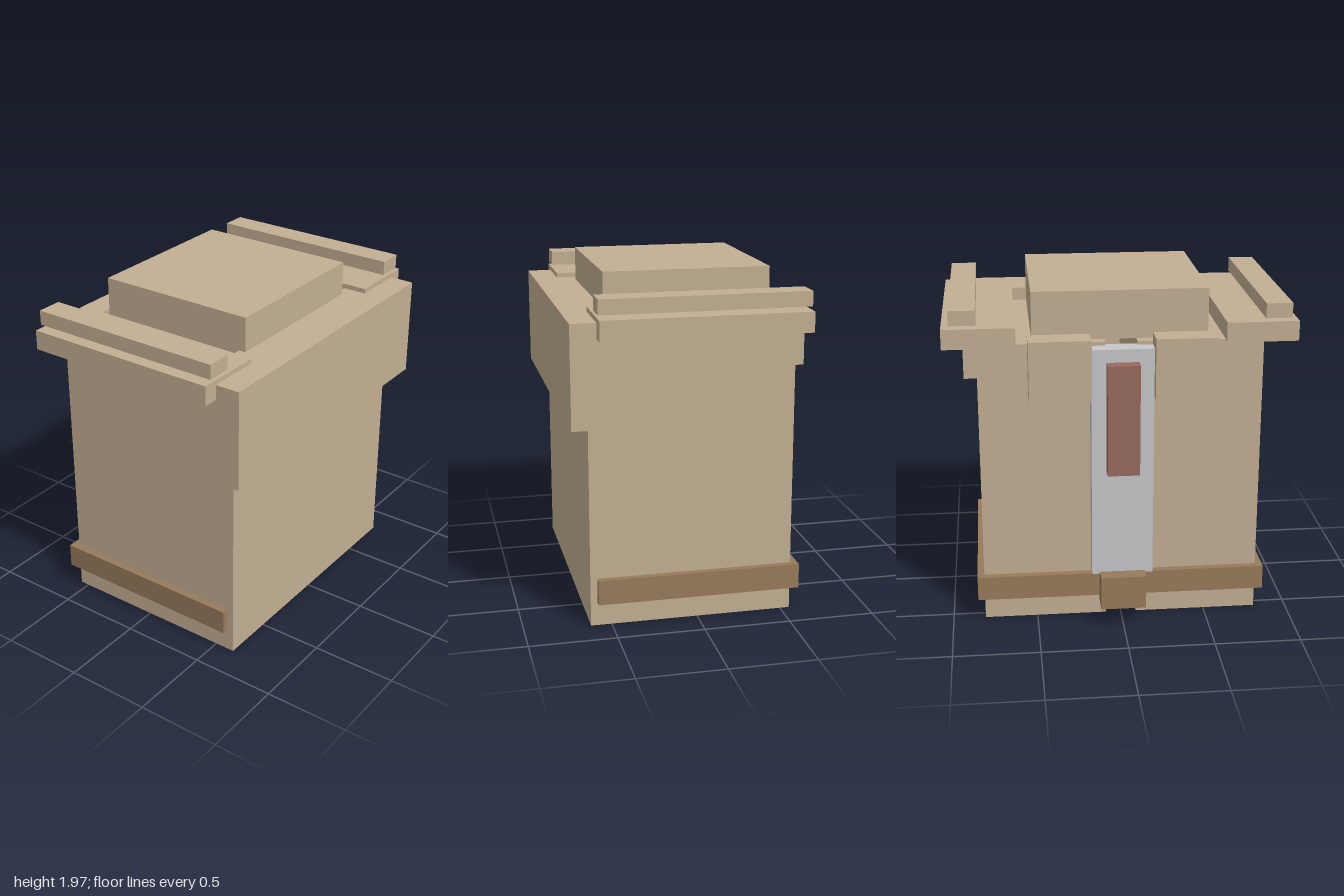
import * as THREE from 'three';

const material = (name, color) => {
  const m = new THREE.MeshStandardMaterial({ color });
  m.name = name;
  return m;
};

export function createModel() {
  const tan = material('tan canvas', 0xc3af93);
  const brown = material('brown leather', 0x977b5c);
  const grey = material('grey metal', 0xc7c7ca);
  const red = material('dull red', 0x976a5e);

  const group = new THREE.Group();
  group.name = 'pack';

  // Box given by its lower and upper limits on each axis
  const box = (name, mat, [x0, x1], [y0, y1], [z0, z1]) => {
    const mesh = new THREE.Mesh(new THREE.BoxGeometry(x1 - x0, y1 - y0, z1 - z0), mat);
    mesh.position.set((x0 + x1) / 2, (y0 + y1) / 2, (z0 + z1) / 2);
    mesh.name = name;
    group.add(mesh);
  };

  // Body: a block with a deep slot cut in from the back, drawn as (x, -z)
  const plan = new THREE.Shape([
    [-0.81, -0.62], [0.81, -0.62], [0.81, 0.555], [0.09, 0.555],
    [0.09, -0.45], [-0.09, -0.45], [-0.09, 0.555], [-0.81, 0.555],
  ].map(([x, y]) => new THREE.Vector2(x, y)));
  const bodyGeometry = new THREE.ExtrudeGeometry(plan, { depth: 1.69, bevelEnabled: false });
  bodyGeometry.rotateX(-Math.PI / 2);
  const body = new THREE.Mesh(bodyGeometry, tan);
  body.name = 'body';
  group.add(body);

  // Lid and front flap
  box('lid', tan, [-0.5, 0.5], [1.69, 1.97], [-0.49, 0.475]);
  box('frontFlap', tan, [-0.91, 0.91], [1.18, 1.767], [0.435, 0.725]);

  // Belt and its rear buckle
  box('belt', brown, [-0.85, 0.85], [0.137, 0.282], [-0.597, 0.58]);
  box('buckle', brown, [-0.132, 0.132], [0.11, 0.312], [-0.73, -0.58]);

  // Back plate and handle
  box('backPlate', grey, [-0.178, 0.178], [0.3, 1.67], [-0.642, -0.527]);
  box('handle', red, [-0.092, 0.092], [0.945, 1.595], [-0.715, -0.63]);

  // Rails and back pads, mirrored left and right
  for (const s of [1, -1]) {
    const side = s > 0 ? 'left' : 'right';
    const span = (a, b) => (s > 0 ? [a, b] : [-b, -a]);
    box(side + 'LowerRail', tan, span(0.59, 1), [1.68, 1.795], [-0.597, 0.58]);
    box(side + 'UpperRail', tan, span(0.807, 0.957), [1.815, 1.9], [-0.597, 0.58]);
    box(side + 'BackPad', tan, span(0.178, 0.527), [1.39, 1.74], [-0.7, -0.553]);
  }
  return group;
}
